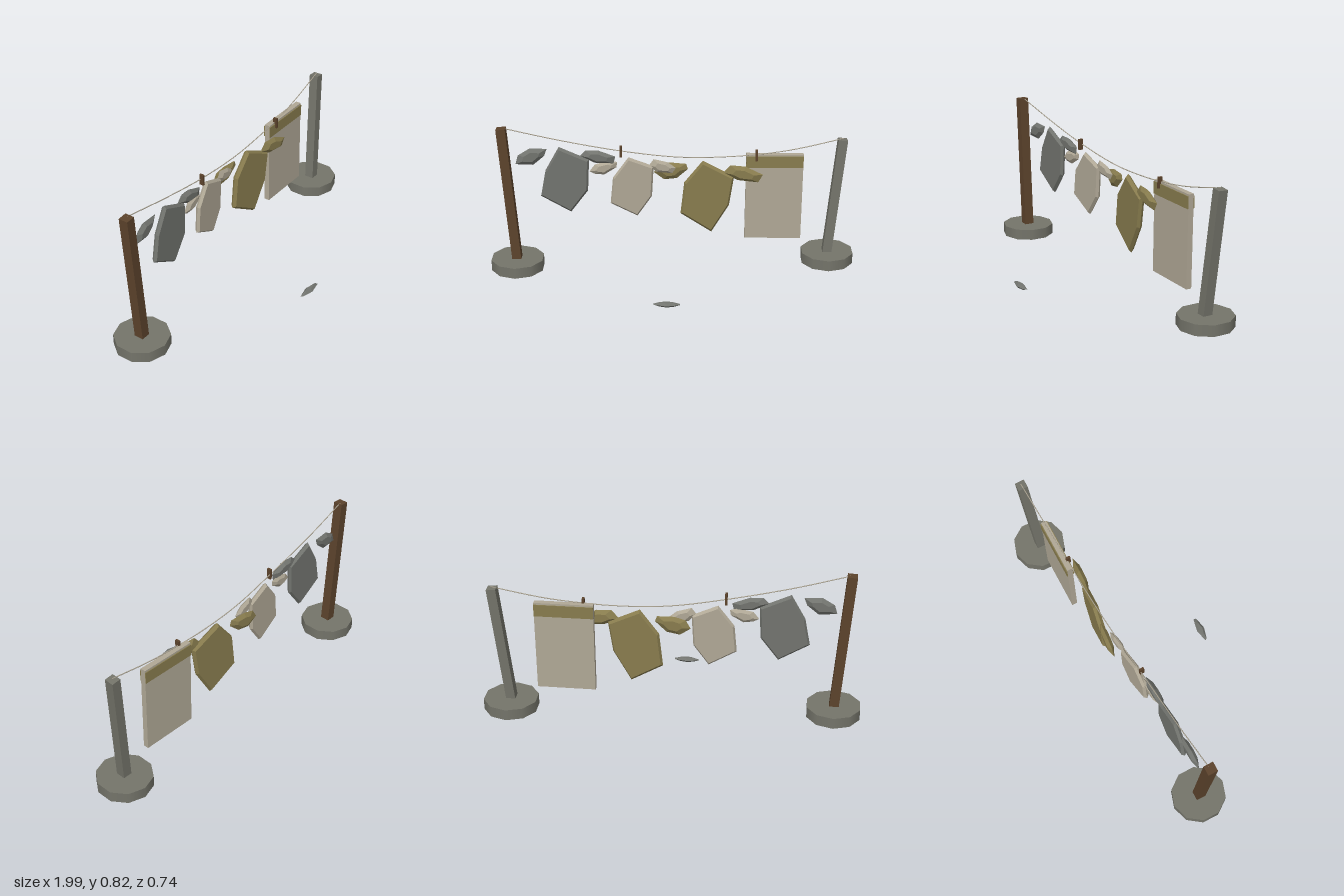
import * as THREE from 'three';
import { ConvexGeometry } from 'three/addons/geometries/ConvexGeometry.js';

const paint = (name, color) => {
  const m = new THREE.MeshStandardMaterial({ color });
  m.name = name;
  return m;
};

export function createModel() {
  const stone = paint('stone grey', 0x74746a);
  const brown = paint('wood brown', 0x5c432c);
  const grey = paint('cloth grey', 0x72746f);
  const beige = paint('cloth beige', 0xb0a896);
  const olive = paint('cloth olive', 0x887c4e);
  const group = new THREE.Group();

  const add = (name, geometry, material, x = 0, y = 0, z = 0) => {
    const mesh = new THREE.Mesh(geometry, material);
    mesh.name = name;
    mesh.position.set(x, y, z);
    group.add(mesh);
    return mesh;
  };

  // Ten-sided feet
  add('leftFoot', new THREE.CylinderGeometry(0.147, 0.147, 0.06, 10), stone, -0.857, 0.034, -0.122);
  add('rightFoot', new THREE.CylinderGeometry(0.147, 0.147, 0.06, 10), stone, 0.857, 0.034, -0.23);

  // Leaning square posts
  const post = (name, material, from, to) => {
    const a = new THREE.Vector3(...from), b = new THREE.Vector3(...to);
    const mesh = add(name, new THREE.BoxGeometry(0.05, a.distanceTo(b), 0.052), material);
    mesh.position.lerpVectors(a, b, 0.5);
    mesh.quaternion.setFromUnitVectors(new THREE.Vector3(0, 1, 0), b.sub(a).normalize());
  };
  post('leftPost', brown, [-0.857, 0.02, -0.121], [-0.91, 0.82, -0.121]);
  post('rightPost', stone, [0.852, 0.02, -0.224], [0.915, 0.717, -0.25]);

  // Sagging line
  const rope = new THREE.CatmullRomCurve3([
    [-0.9, 0.82, -0.125], [-0.65, 0.755, -0.145], [-0.45, 0.71, -0.158], [-0.27, 0.675, -0.17],
    [-0.05, 0.641, -0.188], [0.1, 0.629, -0.198], [0.3, 0.63, -0.21], [0.45, 0.64, -0.217],
    [0.65, 0.665, -0.23], [0.92, 0.723, -0.25],
  ].map((p) => new THREE.Vector3(...p)));
  add('line', new THREE.TubeGeometry(rope, 36, 0.0028, 5), beige);

  // Faceted cloth lump: an outline with smaller faces before and behind it
  const cloth = (name, material, z, depth, slope, inset, outline) => {
    const cx = outline.reduce((s, p) => s + p[0], 0) / outline.length;
    const cy = outline.reduce((s, p) => s + p[1], 0) / outline.length;
    const points = [];
    for (const [scale, dz] of [[inset, depth], [1, 0], [inset, -depth]]) {
      for (const [x, y] of outline) {
        const dx = (x - cx) * scale, dy = (y - cy) * scale;
        points.push(new THREE.Vector3(dx, dy, dz + dx * slope));
      }
    }
    return add(name, new ConvexGeometry(points), material, cx, cy, z);
  };

  // Grey shirt
  cloth('greyShirtBody', grey, -0.145, 0.014, -0.03, 0.92,
    [[-0.61, 0.708], [-0.45, 0.635], [-0.46, 0.455], [-0.555, 0.33], [-0.715, 0.425], [-0.685, 0.575]]);
  cloth('greyShirtRightSleeve', grey, -0.143, 0.016, -0.05, 0.55,
    [[-0.845, 0.61], [-0.83, 0.66], [-0.765, 0.70], [-0.675, 0.695], [-0.69, 0.655], [-0.75, 0.605]]);
  cloth('greyShirtLeftSleeve', grey, -0.152, 0.018, -0.03, 0.55,
    [[-0.50, 0.655], [-0.47, 0.685], [-0.40, 0.685], [-0.31, 0.65], [-0.32, 0.61], [-0.42, 0.615]]);

  // Beige shirt
  cloth('beigeShirtBody', beige, -0.172, 0.014, -0.09, 0.92,
    [[-0.24, 0.64], [-0.105, 0.585], [-0.115, 0.41], [-0.195, 0.295], [-0.34, 0.375], [-0.325, 0.525]]);
  cloth('beigeShirtRightSleeve', beige, -0.157, 0.014, -0.09, 0.55,
    [[-0.45, 0.565], [-0.42, 0.605], [-0.34, 0.625], [-0.30, 0.615], [-0.305, 0.585], [-0.37, 0.545], [-0.42, 0.55]]);
  cloth('beigeShirtLeftSleeve', beige, -0.186, 0.014, -0.09, 0.55,
    [[-0.13, 0.59], [-0.105, 0.625], [-0.03, 0.605], [0.015, 0.57], [-0.005, 0.54], [-0.09, 0.55]]);

  // Olive shirt
  cloth('oliveShirtBody', olive, -0.198, 0.016, 0.08, 0.92,
    [[0.16, 0.61], [0.33, 0.525], [0.305, 0.355], [0.21, 0.19], [0.04, 0.295], [0.06, 0.48]]);
  cloth('oliveShirtRightSleeve', olive, -0.222, 0.017, 0.08, 0.55,
    [[-0.105, 0.53], [-0.08, 0.575], [-0.02, 0.59], [0.07, 0.585], [0.08, 0.555], [0.02, 0.50], [-0.05, 0.49]]);
  cloth('oliveShirtLeftSleeve', olive, -0.18, 0.018, 0.06, 0.55,
    [[0.27, 0.545], [0.31, 0.59], [0.39, 0.585], [0.485, 0.54], [0.46, 0.495], [0.35, 0.505]]);

  // Hanging sheet with a stripe on both faces
  add('sheet', new THREE.BoxGeometry(0.31, 0.495, 0.03), beige, 0.55, 0.392, -0.229);
  for (const side of [1, -1]) {
    add(side > 0 ? 'sheetFrontStripe' : 'sheetBackStripe',
      new THREE.BoxGeometry(0.31, 0.065, 0.005), olive, 0.55, 0.597, -0.229 + side * 0.0172);
  }

  // Pegs
  for (const [x, y, z] of [[-0.28, 0.676, -0.162], [0.45, 0.636, -0.211]]) {
    add('peg', new THREE.BoxGeometry(0.012, 0.06, 0.024), brown, x, y, z);
  }

  // Fallen sock on the ground
  const sock = cloth('fallenSock', grey, 0.345, 0.012, 0, 0.5,
    [[-0.1, 0.01], [-0.03, 0.025], [0.04, 0.01], [0.04, -0.006], [-0.03, -0.02], [-0.095, -0.002]]);
  sock.position.y = 0.025;
  sock.rotation.x = -Math.PI / 2;

  return group;
}
